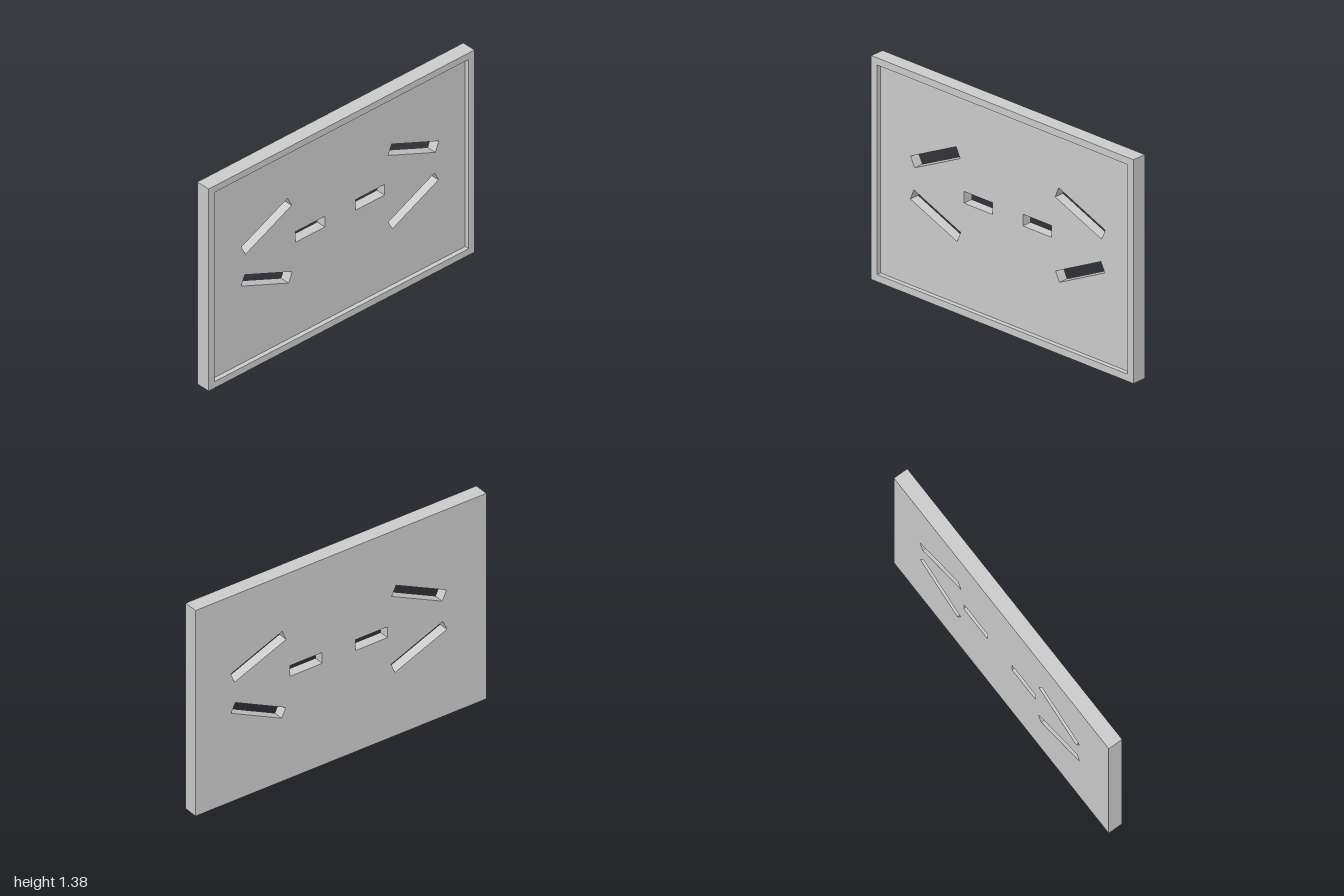
import * as THREE from 'three';

const W = 2, H = 1.376, DEPTH = 0.093, RECESS = 0.029, BORDER = 0.044;

// Rectangle outline, centred on (cx, cy) and turned by an angle in degrees
function rectangle(PathType, cx, cy, length, width, degrees = 0) {
  const centre = new THREE.Vector2(cx, cy);
  const corners = [[-1, -1], [1, -1], [1, 1], [-1, 1]].map(([sx, sy]) =>
    new THREE.Vector2(cx + sx * length / 2, cy + sy * width / 2)
      .rotateAround(centre, THREE.MathUtils.degToRad(degrees)));
  return new PathType(corners);
}

export function createModel() {
  const group = new THREE.Group();
  group.name = 'slottedTray';
  const material = new THREE.MeshStandardMaterial({ color: 0xcccccc, flatShading: true });

  // Full-size slab with the holes cut through it
  function addSlab(name, holes, depth, z) {
    const shape = rectangle(THREE.Shape, 0, H / 2, W, H);
    shape.holes = holes;
    const geometry = new THREE.ExtrudeGeometry(shape, { depth, bevelEnabled: false });
    const mesh = new THREE.Mesh(geometry, material);
    mesh.name = name;
    mesh.position.z = z;
    group.add(mesh);
  }

  // Back panel with four slanted slots and two level ones
  const slots = [
    [-0.538, 0.889, 0.386, 0.07, 25.8],
    [0.567, 0.897, 0.384, 0.07, -22.5],
    [-0.537, 0.53, 0.386, 0.07, -22.5],
    [0.567, 0.538, 0.386, 0.067, 26],
    [-0.21, 0.713, 0.22, 0.072],
    [0.239, 0.717, 0.22, 0.072],
  ].map((slot) => rectangle(THREE.Path, ...slot));
  const panelDepth = DEPTH - RECESS;
  addSlab('backPanel', slots, panelDepth, -DEPTH / 2);

  // Raised rim around the front
  const opening = rectangle(THREE.Path, 0, H / 2, W - 2 * BORDER, H - 2 * BORDER);
  addSlab('frontRim', [opening], RECESS, DEPTH / 2 - RECESS);

  return group;
}
